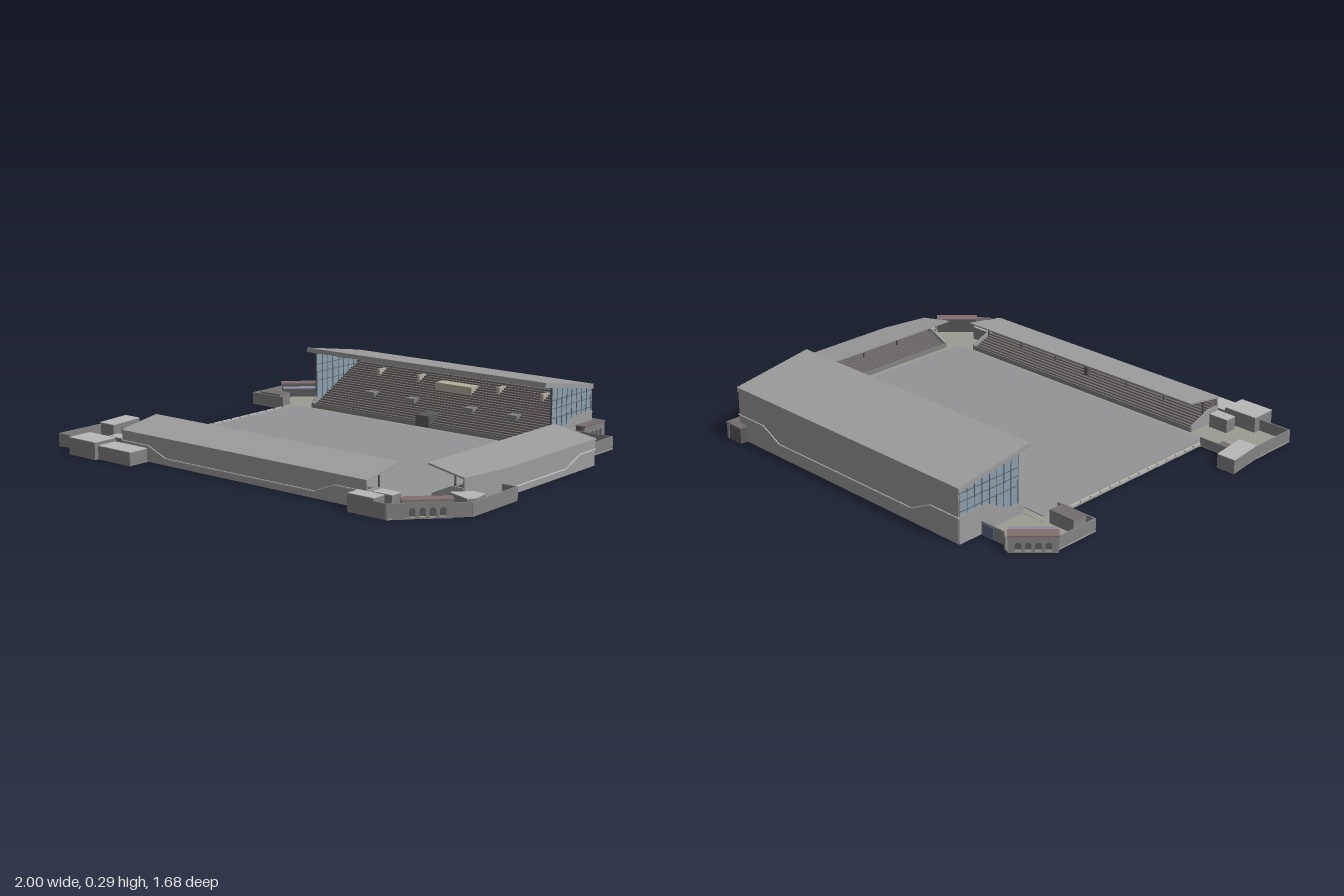
import * as THREE from 'three';

const mat = (color) => new THREE.MeshStandardMaterial({ color, side: THREE.DoubleSide, flatShading: true });
const grey = mat(0x9c9c9c), dark = mat(0x828282), pale = mat(0xb8b8b8), turf = mat(0x949496), paving = mat(0x9d9c93);
const seats = mat(0x706a6a), steel = mat(0x5a5a5a), line = mat(0xd8d8d8), cream = mat(0xb4ae9e);
const glass = mat(0x8a9eac), canopyTint = mat(0x8c8e98), blue = mat(0x5f6885), red = mat(0x806e6e), brown = mat(0x746c6c), yellow = mat(0xd2cc10);

function add(parent, name, geo, material = grey, x = 0, y = 0, z = 0) {
  const m = new THREE.Mesh(geo, material);
  m.name = name;
  m.position.set(x, y, z);
  parent.add(m);
  return m;
}

// Axis-aligned block given by its limits
const block = (p, name, x0, x1, y0, y1, z0, z1, material) =>
  add(p, name, new THREE.BoxGeometry(x1 - x0, y1 - y0, z1 - z0), material, (x0 + x1) / 2, (y0 + y1) / 2, (z0 + z1) / 2);

// Plan outline [x, z] raised from y0 to y1
function plan(p, name, pts, y0, y1, material) {
  const shape = new THREE.Shape(pts.map(([x, z]) => new THREE.Vector2(x, -z)));
  const geo = new THREE.ExtrudeGeometry(shape, { depth: y1 - y0, bevelEnabled: false }).rotateX(-Math.PI / 2);
  return add(p, name, geo, material, 0, y0, 0);
}

// Small building: walls with a thin roof slab
function building(p, name, pts, h, roof) {
  plan(p, name + 'Walls', pts, 0, h - 0.003, dark);
  plan(p, name + 'Roof', pts, h - 0.003, h, roof);
}
const rect = (x0, x1, z0, z1) => [[x0, z0], [x1, z0], [x1, z1], [x0, z1]];

// Upright wall following a plan path
function wall(p, name, pts, h, t = 0.006) {
  for (let i = 1; i < pts.length; i++) {
    const [ax, az] = pts[i - 1], [bx, bz] = pts[i];
    const m = add(p, name, new THREE.BoxGeometry(Math.hypot(bx - ax, bz - az) + t, h, t), dark, (ax + bx) / 2, h / 2, (az + bz) / 2);
    m.rotation.y = -Math.atan2(bz - az, bx - ax);
  }
}

// Cross-section [depth, y] swept through stations [x, depth scale]; front edge stays at z = 0
function loft(section, stations) {
  const pos = [], n = section.length;
  const pt = ([x, s], i) => [x, section[i % n][1], -section[i % n][0] * s];
  for (let k = 1; k < stations.length; k++) {
    for (let i = 0; i < n; i++) {
      const a = pt(stations[k - 1], i), b = pt(stations[k], i), c = pt(stations[k], i + 1), d = pt(stations[k - 1], i + 1);
      pos.push(...a, ...b, ...c, ...a, ...c, ...d);
    }
  }
  const faces = THREE.ShapeUtils.triangulateShape(section.map(([d, y]) => new THREE.Vector2(d, y)), []);
  for (const st of [stations[0], stations.at(-1)]) for (const f of faces) for (const i of f) pos.push(...pt(st, i));
  const geo = new THREE.BufferGeometry();
  geo.setAttribute('position', new THREE.Float32BufferAttribute(pos, 3));
  geo.computeVertexNormals();
  return geo;
}

// Thin stepped terrace section
function steps(d0, d1, y0, y1, rows) {
  const pts = [], dd = (d1 - d0) / rows, dy = (y1 - y0) / rows;
  for (let i = 0; i < rows; i++) pts.push([d0 + i * dd, y0 + i * dy], [d0 + i * dd, y0 + (i + 1) * dy], [d0 + (i + 1) * dd, y0 + (i + 1) * dy]);
  return [...pts, [d1, y1 - dy - 0.004], [d0 + dd, y0 - 0.004]];
}

// Stand in its own frame: pitch edge at z = 0, seats rising towards -z
function stand(name, stations, o) {
  const g = new THREE.Group();
  g.name = name;
  const D = o.depth, t = o.roofThick;
  const inset = (e) => stations.map(([x, s], i) => [x + (i === 0 ? e : i === stations.length - 1 ? -e : 0), s]);
  const inner = inset(0.004);
  add(g, 'roof', loft([[0, o.front - t], [0, o.front], [D, o.back], [D, o.back - t]], stations));
  add(g, 'backWall', loft([[D - 0.01, 0], [D - 0.01, o.back - t], [D - 0.003, o.back - t], [D - 0.003, 0]], inner));
  add(g, 'terrace', loft(steps(o.seatStart, D - 0.012, 0.015, o.seatTop, o.rows), inset(0.014)), seats);
  add(g, 'pitchWall', loft([[o.seatStart - 0.005, 0], [o.seatStart - 0.005, 0.028], [o.seatStart, 0.028], [o.seatStart, 0]], inner), dark);
  // Closed lower end walls
  for (const [x, s] of [inner[0], inner.at(-1)])
    add(g, 'endWall', loft(o.end, [[x - 0.004, s], [x + 0.004, s]]));
  // Pale ledge along the rear, dipping in the middle
  const up = o.ledge.map(([x, y]) => new THREE.Vector2(x, y));
  const down = o.ledge.map(([x, y]) => new THREE.Vector2(x, y - 0.004)).reverse();
  add(g, 'ledge', new THREE.ExtrudeGeometry(new THREE.Shape([...up, ...down]), { depth: 0.004, bevelEnabled: false }), line, 0, 0, -D);
  return g;
}

// Turnstile block with arched openings on its +z face
function gate(p, name, x, z, turn, len, depth, material) {
  const g = new THREE.Group();
  g.name = name;
  g.position.set(x, 0, z);
  g.rotation.y = turn;
  const face = new THREE.Shape([[-len / 2, 0], [len / 2, 0], [len / 2, 0.066], [-len / 2, 0.066]].map((q) => new THREE.Vector2(...q)));
  const n = 4, r = len * 0.065;
  for (let i = 0; i < n; i++) {
    const c = (i - (n - 1) / 2) * len * 0.2;
    const hole = new THREE.Path();
    hole.moveTo(c - r, 0.005).lineTo(c + r, 0.005).lineTo(c + r, 0.03).absarc(c, 0.03, r, 0, Math.PI, false).lineTo(c - r, 0.005);
    face.holes.push(hole);
  }
  add(g, 'archedFront', new THREE.ExtrudeGeometry(face, { depth: 0.012, bevelEnabled: false, curveSegments: 8 }), dark, 0, 0, depth / 2 - 0.012);
  block(g, 'gateHouse', -len / 2, len / 2, 0, 0.066, -depth / 2, depth / 2 - 0.016, steel);
  block(g, 'gateRoof', -len / 2 - 0.003, len / 2 + 0.003, 0.066, 0.072, -depth / 2, depth / 2 + 0.003, material);
  p.add(g);
}

export function createModel() {
  const root = new THREE.Group();
  root.name = 'stadium';

  // Pitch and corner paving
  block(root, 'pitch', -0.72, 0.725, 0, 0.01, -0.44, 0.52, turf);
  block(root, 'pitchSurround', -0.745, 0.757, 0, 0.007, -0.472, 0.542, paving);
  plan(root, 'frontLeftPaving', [[0.65, 0.47], [0.9, 0.47], [0.99, 0.55], [0.79, 0.78], [0.61, 0.78], [0.61, 0.52]], 0, 0.006, paving);
  plan(root, 'frontRightPaving', [[-0.98, 0.47], [-0.64, 0.47], [-0.64, 0.72], [-0.83, 0.76], [-0.98, 0.76]], 0, 0.006, paving);
  plan(root, 'backRightPaving', [[-0.93, -0.38], [-0.64, -0.38], [-0.64, -0.69], [-0.76, -0.69], [-0.8, -0.72], [-0.93, -0.59]], 0, 0.006, paving);
  plan(root, 'backLeftPaving', [[0.65, -0.38], [0.845, -0.38], [0.845, -0.66], [0.65, -0.66]], 0, 0.006, paving);

  // Main stand at the back
  const main = stand('mainStand', [[-0.645, 1], [0.65, 1]], {
    depth: 0.37, front: 0.29, back: 0.23, roofThick: 0.02, seatStart: 0.03, seatTop: 0.18, rows: 22,
    ledge: [[-0.645, 0.11], [-0.49, 0.11], [-0.39, 0.06], [0.39, 0.06], [0.49, 0.11], [0.65, 0.11]],
    end: [[0.03, 0], [0.03, 0.03], [0.05, 0.055], [0.11, 0.055], [0.22, 0.115], [0.365, 0.115], [0.365, 0]],
  });
  main.position.z = -0.44;
  root.add(main);
  const roofLine = (d) => 0.27 - d * 0.06 / 0.37;
  for (const x of [-0.638, 0.643]) {
    add(main, 'endGlazing', loft([[0.055, 0.05], [0.055, roofLine(0.055)], [0.365, roofLine(0.365)], [0.365, 0.11], [0.22, 0.11], [0.11, 0.05]], [[x - 0.002, 1], [x + 0.002, 1]]), glass);
    for (let i = 0; i <= 8; i++) {
      const d = 0.056 + i * 0.038;
      block(main, 'mullion', x - 0.004, x + 0.004, 0.05, roofLine(d), -d - 0.001, -d + 0.001, steel);
    }
    for (const y of [0.13, 0.17, 0.205]) block(main, 'glazingRail', x - 0.004, x + 0.004, y - 0.001, y + 0.001, -0.365, -0.055, steel);
  }
  // Roof beams, entrances and central box of the main stand
  for (let i = 0; i < 9; i++) {
    const x = -0.62 + i * 0.156;
    add(main, 'roofBeam', loft([[0.01, 0.27], [0.36, 0.213], [0.36, 0.205], [0.01, 0.264]], [[x - 0.003, 1], [x + 0.003, 1]]), steel);
  }
  for (const s of [-1, 1]) {
    const brace = add(main, 'roofBrace', new THREE.BoxGeometry(0.085, 0.005, 0.005), steel, s * 0.6, 0.195, -0.345);
    brace.rotation.z = -s * 0.45;
    for (const x of [0.22, 0.45]) {
      block(main, 'upperEntrance', s * x - 0.008, s * x + 0.008, 0.13, 0.172, -0.33, -0.28, cream);
      block(main, 'lowerEntrance', s * (x - 0.06) - 0.025, s * (x - 0.06) + 0.025, 0.05, 0.095, -0.2, -0.14, dark);
    }
  }
  block(main, 'directorsBox', -0.1, 0.1, 0.12, 0.16, -0.31, -0.25, cream);
  block(main, 'playersTunnel', -0.035, 0.035, 0.01, 0.06, -0.1, -0.02, steel);

  // Lower stands on the front and on the left
  const low = {
    depth: 0.2, front: 0.143, back: 0.112, roofThick: 0.007, seatStart: 0.02, seatTop: 0.082, rows: 12,
    ledge: [[-0.645, 0.07], [-0.49, 0.07], [-0.39, 0.03], [0.39, 0.03], [0.49, 0.07], [0.645, 0.07]],
    end: [[0.02, 0], [0.02, 0.03], [0.13, 0.072], [0.195, 0.072], [0.195, 0]],
  };
  const front = stand('frontStand', [[-0.645, 1], [0.645, 1]], low);
  front.position.set(0.003, 0, 0.52);
  front.rotation.y = Math.PI;
  const side = stand('sideStand', [[-0.375, 1], [0.26, 1], [0.47, 0.825]], {
    ...low, ledge: [[-0.375, 0.07], [-0.26, 0.07], [-0.16, 0.03], [0.26, 0.03]],
  });
  side.position.x = 0.737;
  side.rotation.y = -Math.PI / 2;
  root.add(front, side);
  for (const [s, x0, x1] of [[front, -0.63, 0.63], [side, -0.36, 0.45]]) {
    const n = Math.round((x1 - x0) / 0.2);
    for (let i = 0; i <= n; i++) {
      const x = x0 + (x1 - x0) * i / n;
      block(s, 'roofPost', x - 0.003, x + 0.003, 0.03, 0.122, -0.113, -0.107, steel);
    }
  }
  block(front, 'commentaryPost', -0.01, 0.01, 0.05, 0.1, -0.1, -0.08, steel);

  // Barrier along the open side
  for (let i = 0; i < 15; i++) block(root, 'barrier', -0.745, -0.738, 0, 0.014, -0.37 + i * 0.057, -0.32 + i * 0.057, pale);

  // Perimeter walls
  wall(root, 'perimeterWall', [[0.935, 0.27], [0.996, 0.27], [0.996, 0.55], [0.945, 0.6]], 0.055);
  wall(root, 'perimeterWall', [[0.83, 0.735], [0.785, 0.778], [0.61, 0.778]], 0.06);
  wall(root, 'perimeterWall', [[0.74, -0.38], [0.841, -0.38], [0.841, -0.657], [0.65, -0.657]], 0.055);
  wall(root, 'perimeterWall', [[-0.645, -0.69], [-0.76, -0.69], [-0.79, -0.715]], 0.055);
  wall(root, 'perimeterWall', [[-0.926, -0.585], [-0.926, -0.383], [-0.745, -0.383]], 0.055);
  wall(root, 'perimeterWall', [[-0.976, 0.53], [-0.976, 0.757], [-0.83, 0.757]], 0.055);
  wall(root, 'perimeterWall', [[-0.9, 0.473], [-0.745, 0.473]], 0.04);
  block(root, 'blueDoors', 0.842, 0.847, 0, 0.05, -0.465, -0.4, blue);
  block(root, 'blueDoors', -0.71, -0.655, 0, 0.05, -0.696, -0.691, blue);

  // Turnstile gates
  gate(root, 'frontGate', 0.872, 0.655, Math.PI / 4, 0.185, 0.05, red);
  gate(root, 'backGate', -0.86, -0.643, -3 * Math.PI / 4, 0.185, 0.05, red);
  gate(root, 'rearGate', 0.648, -0.76, Math.PI / 2, 0.16, 0.09, brown);
  const canopy = add(root, 'gateCanopy', new THREE.BoxGeometry(0.18, 0.004, 0.045), canopyTint, -0.823, 0.055, -0.607);
  canopy.rotation.y = Math.PI / 4;

  // Corner buildings
  building(root, 'ticketHall', rect(-0.83, -0.675, 0.72, 0.835), 0.074, pale);
  building(root, 'ticketAnnex', rect(-0.675, -0.49, 0.722, 0.817), 0.058, pale);
  building(root, 'clubHouse', [[-1, 0.36], [-0.915, 0.36], [-0.895, 0.53], [-0.98, 0.53]], 0.062, pale);
  building(root, 'cornerKiosk', [[0.86, 0.505], [0.92, 0.44], [0.975, 0.44], [0.985, 0.51], [0.965, 0.54]], 0.06, pale);
  building(root, 'frontStore', rect(0.61, 0.73, 0.72, 0.783), 0.072, pale);
  for (const x of [0.65, -0.75]) building(root, 'frontKiosk', rect(x, x + 0.09, 0.635, 0.69), 0.065, pale);
  building(root, 'shed', rect(-0.87, -0.83, 0.475, 0.505), 0.04, brown);
  building(root, 'backKiosk', rect(-0.89, -0.77, -0.46, -0.39), 0.062, brown);
  building(root, 'backShed', rect(0.652, 0.705, -0.63, -0.565), 0.06, brown);

  // Painted ground boxes
  for (const [x, z, w, d] of [[-0.7, -0.668, 0.06, 0.03], [0.825, -0.44, 0.025, 0.07], [-0.963, 0.59, 0.025, 0.07]]) {
    for (const s of [-1, 0, 1]) {
      block(root, 'groundMarking', x - w / 2, x + w / 2, 0.005, 0.01, z + s * d / 2 - 0.002, z + s * d / 2 + 0.002, yellow);
      block(root, 'groundMarking', x + s * w / 2 - 0.002, x + s * w / 2 + 0.002, 0.005, 0.01, z - d / 2, z + d / 2, yellow);
    }
  }
  return root;
}
